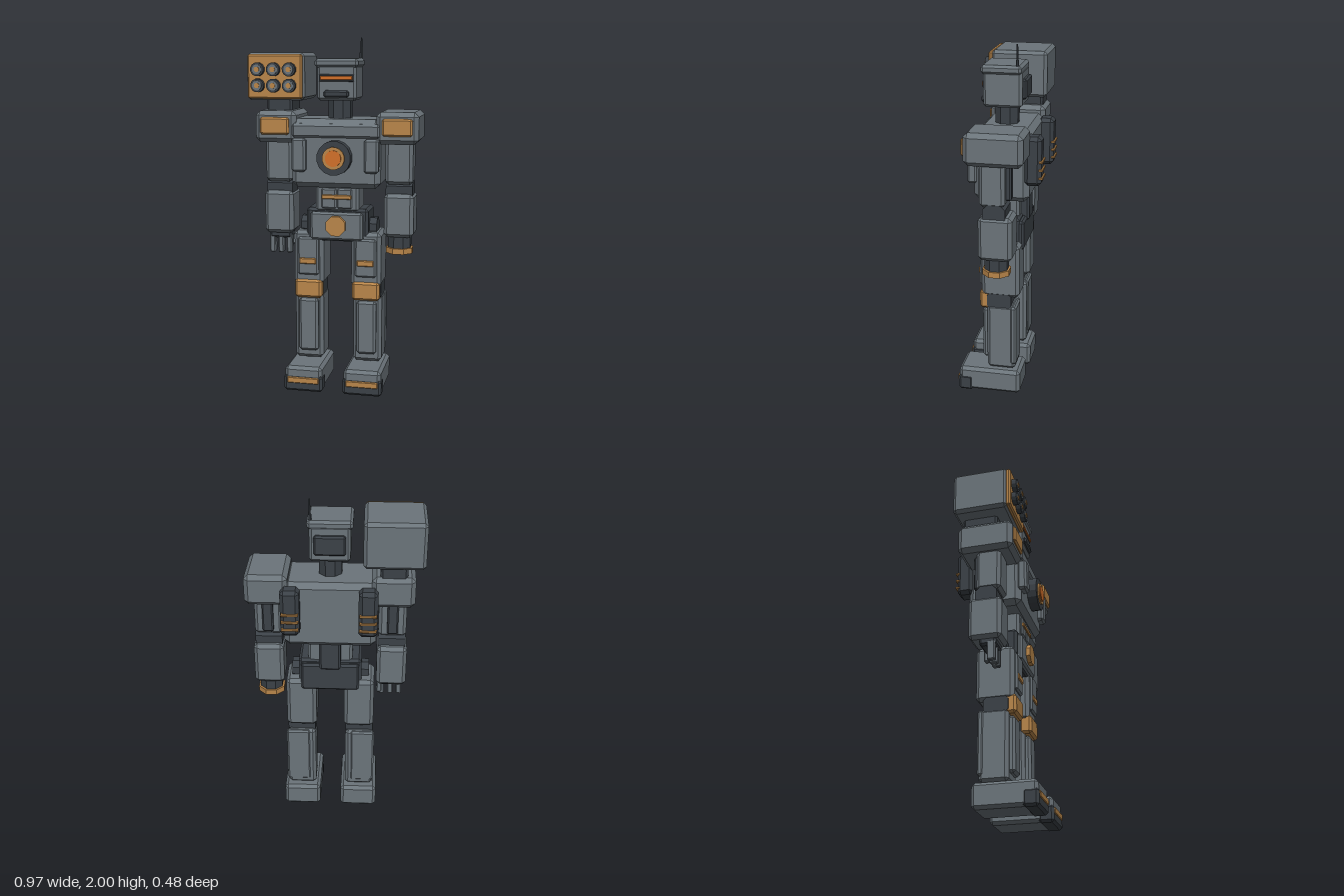
import * as THREE from 'three';
import { ConvexGeometry } from 'three/addons/geometries/ConvexGeometry.js';

const material = (name, color) => {
  const m = new THREE.MeshStandardMaterial({ color });
  m.name = name;
  return m;
};

export function createModel() {
  const grey = material('armour grey', 0x6b747a);
  const dark = material('dark frame', 0x3b4147);
  const tan = material('tan trim', 0xb9864a);
  const orange = material('glowing orange', 0xd2702a);

  const model = new THREE.Group();
  model.name = 'robot';
  const body = new THREE.Group();
  body.name = 'body';
  body.position.x = 0.02; // the launcher makes the whole shape lopsided
  model.add(body);

  function add(name, mat, geometry, x = 0, y = 0, z = 0) {
    const mesh = new THREE.Mesh(geometry, mat);
    mesh.name = name;
    mesh.position.set(x, y, z);
    body.add(mesh);
    return mesh;
  }

  // Box with chamfered edges, given by its limits
  function box(name, mat, [x0, x1], [y0, y1], [z0, z1], c = 0.01) {
    const h = [Math.abs(x1 - x0) / 2, (y1 - y0) / 2, (z1 - z0) / 2];
    const bevel = Math.min(c, Math.min(...h) * 0.6);
    const pts = [];
    for (const sx of [-1, 1]) for (const sy of [-1, 1]) for (const sz of [-1, 1]) {
      for (let full = 0; full < 3; full++) {
        const p = h.map((v, i) => (i === full ? v : v - bevel));
        pts.push(new THREE.Vector3(sx * p[0], sy * p[1], sz * p[2]));
      }
    }
    return add(name, mat, new ConvexGeometry(pts), (x0 + x1) / 2, (y0 + y1) / 2, (z0 + z1) / 2);
  }

  // Faceted cylinder along an axis
  function drum(name, mat, axis, r, length, x, y, z, sides = 8, rTop = r) {
    let g = new THREE.CylinderGeometry(rTop, r, length, sides);
    g.rotateY(Math.PI / sides);
    if (axis === 'x') g.rotateZ(Math.PI / 2);
    if (axis === 'z') g.rotateX(Math.PI / 2);
    g = g.toNonIndexed();
    g.computeVertexNormals();
    return add(name, mat, g, x, y, z);
  }

  // Torso
  box('torso', grey, [-0.255, 0.25], [1.17, 1.555], [-0.165, 0.14], 0.03);
  box('upperChestPlate', grey, [-0.25, 0.25], [1.45, 1.53], [0.08, 0.152], 0.014);
  drum('reactorHousing', dark, 'z', 0.096, 0.06, 0, 1.345, 0.165, 16);
  drum('reactorRing', tan, 'z', 0.063, 0.02, 0, 1.345, 0.194, 16);
  drum('reactorCore', orange, 'z', 0.045, 0.01, 0, 1.345, 0.205, 16);

  // Waist and pelvis
  box('waist', grey, [-0.125, 0.125], [1.03, 1.19], [-0.09, 0.1], 0.015);
  for (const s of [-1, 1]) box('abdomenPlate', grey, [s * 0.002, s * 0.088], [1.05, 1.165], [0.08, 0.112], 0.008);
  box('abdomenStripe', tan, [-0.085, 0.085], [1.105, 1.13], [0.1, 0.12], 0.004);
  box('spine', dark, [-0.06, 0.06], [1.0, 1.19], [-0.135, -0.06], 0.012);
  box('pelvis', dark, [-0.178, 0.178], [0.86, 1.05], [-0.1, 0.1], 0.015);
  box('pelvisFrontPlate', grey, [-0.15, 0.15], [0.87, 1.03], [0.08, 0.122], 0.012);
  box('pelvisBackPlate', dark, [-0.165, 0.165], [0.86, 1.03], [-0.125, -0.08], 0.012);
  drum('beltBuckle', tan, 'z', 0.06, 0.03, 0, 0.955, 0.13, 8);
  drum('hipAxle', dark, 'x', 0.055, 0.44, 0, 0.94, 0, 8);

  // Head
  drum('neck', dark, 'y', 0.068, 0.14, 0, 1.61, 0, 8);
  box('head', grey, [-0.11, 0.11], [1.655, 1.86], [-0.1, 0.115], 0.015);
  box('headCap', grey, [-0.122, 0.122], [1.835, 1.885], [-0.098, 0.126], 0.014);
  box('visorFrame', dark, [-0.098, 0.098], [1.758, 1.8], [0.1, 0.118], 0.004);
  box('visor', orange, [-0.09, 0.09], [1.768, 1.79], [0.11, 0.124], 0.003);
  box('mouthGrille', dark, [-0.07, 0.07], [1.672, 1.712], [0.1, 0.132], 0.01);
  box('headBackPanel', dark, [-0.085, 0.085], [1.7, 1.81], [-0.122, -0.09], 0.012);
  drum('antennaBase', dark, 'y', 0.009, 0.04, 0.103, 1.895, -0.074, 8);
  drum('antenna', dark, 'y', 0.0065, 0.12, 0.105, 1.94, -0.074, 8, 0.004);

  // Shoulder launcher
  box('launcherMount', dark, [-0.415, -0.27], [1.58, 1.67], [-0.15, 0.05], 0.012);
  box('launcher', grey, [-0.507, -0.178], [1.655, 1.915], [-0.187, 0.132], 0.018);
  box('launcherFace', tan, [-0.498, -0.187], [1.663, 1.907], [0.12, 0.15], 0.01);
  for (const x of [-0.435, -0.345, -0.255]) for (const y of [1.737, 1.825]) {
    drum('launchTube', dark, 'z', 0.038, 0.035, x, y, 0.16, 12);
    drum('launchTubeRim', grey, 'z', 0.027, 0.01, x, y, 0.176, 12);
    drum('launchTubeTip', tan, 'z', 0.015, 0.008, x, y, 0.181, 10);
  }

  for (const s of [-1, 1]) {
    const side = (a, b) => [s * a, s * b];

    // Chest panels and back packs
    box('chestPanel', grey, side(0.165, 0.245), [1.262, 1.45], [0.12, 0.175], 0.012);
    box('backPack', dark, side(0.158, 0.262), [1.27, 1.54], [-0.233, -0.14], 0.02);
    for (const y of [1.315, 1.36, 1.405])
      box('backVent', tan, side(0.163, 0.257), [y - 0.006, y + 0.006], [-0.242, -0.22], 0.002);

    // Shoulders and arms
    box('shoulderPad', grey, side(0.225, 0.46), [1.42, 1.597], [-0.17, 0.147], 0.025);
    box('shoulderTrim', tan, side(0.262, 0.428), [1.466, 1.562], [0.13, 0.162], 0.01);
    box('upperArm', grey, side(0.267, 0.422), [1.19, 1.46], [-0.068, 0.07], 0.018);
    box('armRod', dark, side(0.315, 0.375), [1.22, 1.45], [-0.095, -0.05], 0.008);
    drum('elbow', dark, 'x', 0.066, 0.15, s * 0.345, 1.155, -0.01, 8);
    box('forearm', grey, side(0.262, 0.43), [0.89, 1.137], [-0.108, 0.078], 0.02);

    // Legs
    box('thigh', grey, side(0.08, 0.252), [0.6, 0.915], [-0.115, 0.1], 0.02);
    box('thighPlate', grey, side(0.105, 0.227), [0.66, 0.88], [0.08, 0.115], 0.01);
    box('thighStripe', tan, side(0.118, 0.215), [0.725, 0.76], [0.1, 0.122], 0.005);
    drum('knee', dark, 'x', 0.075, 0.16, s * 0.17, 0.575, 0, 8);
    box('kneePad', tan, side(0.088, 0.246), [0.522, 0.632], [0.04, 0.112], 0.014);
    box('shin', grey, side(0.088, 0.254), [0.15, 0.55], [-0.094, 0.07], 0.018);
    box('shinPlate', grey, side(0.113, 0.226), [0.2, 0.515], [0.05, 0.1], 0.014);
    box('calfPlate', grey, side(0.12, 0.26), [0.185, 0.545], [-0.1, -0.065], 0.01);

    // Feet
    drum('ankle', dark, 'y', 0.06, 0.06, s * 0.17, 0.145, -0.01, 8);
    box('foot', grey, side(0.062, 0.278), [0.004, 0.145], [-0.125, 0.232], 0.018);
    box('toeCap', dark, side(0.058, 0.282), [0, 0.095], [0.15, 0.237], 0.014);
    box('toeStripe', tan, side(0.078, 0.262), [0.05, 0.085], [0.225, 0.242], 0.004);
  }

  // Right hand
  box('palm', dark, [-0.41, -0.28], [0.855, 0.91], [-0.05, 0.045], 0.012);
  for (const x of [-0.395, -0.345, -0.295])
    box('finger', grey, [x - 0.016, x + 0.016], [0.768, 0.88], [-0.005, 0.04], 0.006);
  box('thumb', grey, [-0.295, -0.265], [0.81, 0.88], [-0.055, -0.02], 0.006);

  // Left arm cannon
  drum('cannonBarrel', dark, 'y', 0.068, 0.09, 0.345, 0.86, -0.01, 8);
  drum('cannonRing', tan, 'y', 0.08, 0.032, 0.345, 0.808, -0.01, 8);
  drum('cannonMuzzle', dark, 'y', 0.048, 0.006, 0.345, 0.791, -0.01, 8);
  drum('cannonCore', tan, 'y', 0.02, 0.006, 0.345, 0.788, -0.01, 8);

  return model;
}
